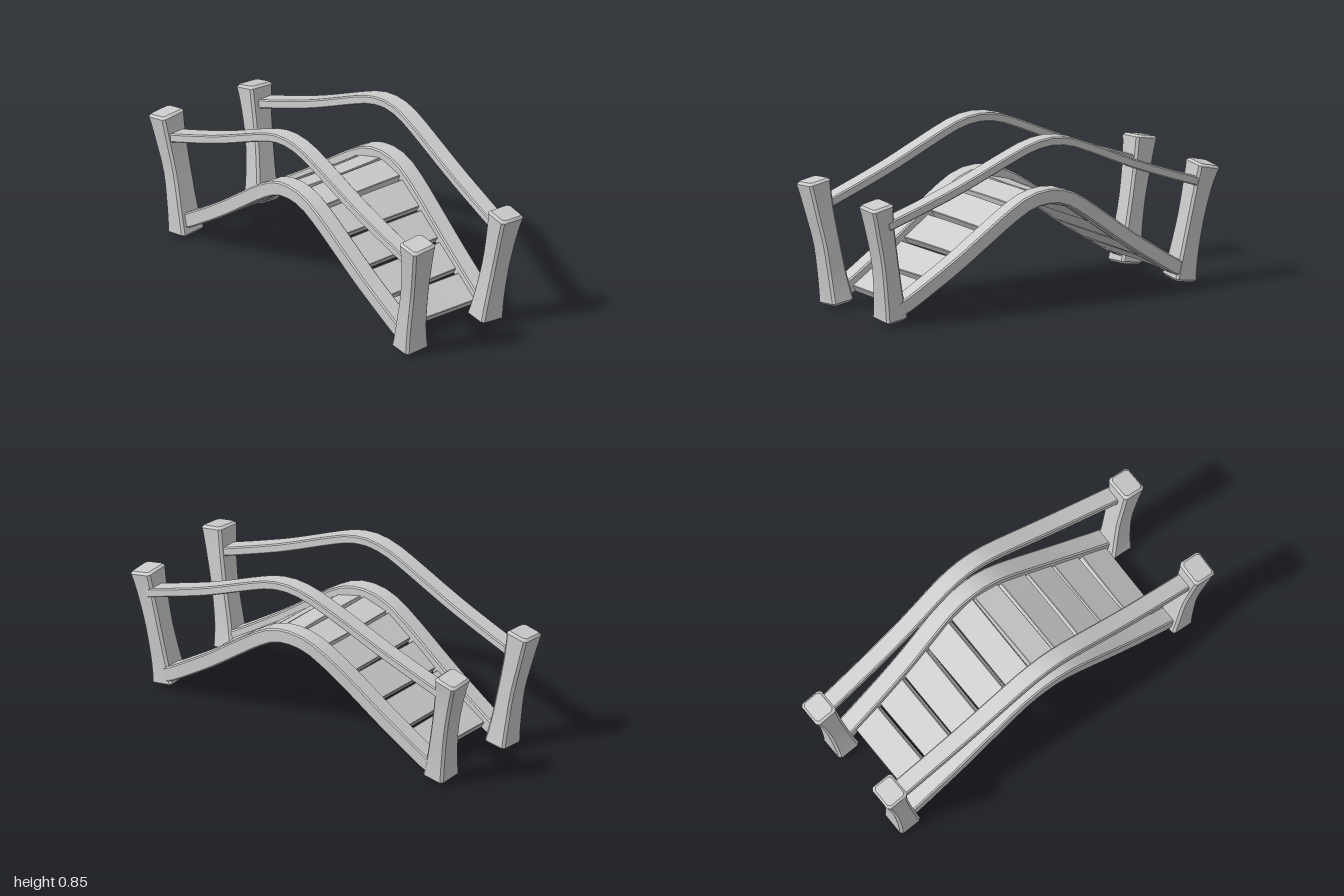
import * as THREE from 'three';
import { toCreasedNormals } from 'three/addons/utils/BufferGeometryUtils.js';

const V = (x, y, z) => new THREE.Vector3(x, y, z);
const material = new THREE.MeshStandardMaterial({ color: 0xcccccc });

// Bevelled bar swept along a path; size(t) gives [half width along side, half thickness]
function bar(name, path, side, size, bevel) {
  const last = path.length - 1;
  const rings = [];
  path.forEach((p, i) => {
    const w = path[Math.min(i + 1, last)].clone().sub(path[Math.max(i - 1, 0)]).normalize();
    const u = side.clone().addScaledVector(w, -side.dot(w)).normalize();
    const v = w.clone().cross(u);
    const [a, b] = size(i / last);
    const ring = (inset, shift) => {
      const A = a - inset, B = b - inset, c = bevel;
      return [[A, c - B], [A, B - c], [A - c, B], [c - A, B], [-A, B - c], [-A, c - B], [c - A, -B], [A - c, -B]]
        .map(([s, t]) => p.clone().addScaledVector(u, s).addScaledVector(v, t).addScaledVector(w, shift));
    };
    if (i === 0) rings.push(ring(bevel * 0.9, 0), ring(0, bevel));
    else if (i === last) rings.push(ring(0, -bevel), ring(bevel * 0.9, 0));
    else rings.push(ring(0, 0));
  });
  const pos = [];
  const tri = (...pts) => pts.forEach((p) => pos.push(p.x, p.y, p.z));
  for (let r = 0; r < rings.length - 1; r++) {
    for (let i = 0; i < 8; i++) {
      const j = (i + 1) % 8, a = rings[r], b = rings[r + 1];
      tri(a[i], a[j], b[j]);
      tri(a[i], b[j], b[i]);
    }
  }
  const first = rings[0], end = rings[rings.length - 1];
  for (let i = 0; i < 8; i++) {
    const j = (i + 1) % 8;
    tri(path[0], first[j], first[i]);
    tri(path[last], end[i], end[j]);
  }
  const geometry = new THREE.BufferGeometry();
  geometry.setAttribute('position', new THREE.Float32BufferAttribute(pos, 3));
  const mesh = new THREE.Mesh(toCreasedNormals(geometry, 0.6), material);
  mesh.name = name;
  return mesh;
}

// Smooth interpolation through [z, value] pairs, z ascending
function profile(points) {
  return (z) => {
    let i = 0;
    while (i < points.length - 2 && z > points[i + 1][0]) i++;
    const at = (k) => points[Math.min(Math.max(k, 0), points.length - 1)];
    const slope = (k) => (at(k + 1)[1] - at(k - 1)[1]) / (at(k + 1)[0] - at(k - 1)[0]);
    const h = at(i + 1)[0] - at(i)[0], t = (z - at(i)[0]) / h;
    const s = t * t * (3 - 2 * t);
    return at(i)[1] * (1 - s) + at(i + 1)[1] * s
      + h * t * (1 - t) * ((1 - t) * slope(i) - t * slope(i + 1));
  };
}
const mirrored = (half) => profile([...half.slice(1).reverse().map(([z, y]) => [-z, y]), ...half]);

// Arch heights and sideways bends
const deckY = mirrored([[0, 0.552], [0.1, 0.536], [0.2, 0.483], [0.33, 0.393], [0.5, 0.272], [0.65, 0.175], [0.78, 0.095], [0.86, 0.06]]);
const railY = mirrored([[0, 0.828], [0.1, 0.815], [0.2, 0.779], [0.5, 0.65], [0.7, 0.575], [0.9, 0.505]]);
const deckX = [
  profile([[-0.86, -0.255], [-0.4, -0.272], [0, -0.28], [0.4, -0.272], [0.86, -0.255]]),
  profile([[-0.86, 0.235], [-0.4, 0.262], [0, 0.302], [0.4, 0.28], [0.86, 0.235]]),
];
const railX = [
  profile([[-0.9, -0.288], [-0.4, -0.298], [0, -0.303], [0.4, -0.3], [0.9, -0.288]]),
  profile([[-0.9, 0.27], [-0.4, 0.295], [0, 0.327], [0.4, 0.308], [0.9, 0.27]]),
];

function archPath(x, y, reach, steps = 26) {
  return Array.from({ length: steps + 1 }, (_, i) => {
    const z = reach * (1 - (2 * i) / steps);
    return V(x(z), y(z), z);
  });
}

export function createModel() {
  const group = new THREE.Group();
  const xAxis = V(1, 0, 0);
  let seed = 7;
  const jitter = () => {
    seed = (seed * 16807) % 2147483647;
    return (seed / 2147483647) * 2 - 1;
  };

  // Side beams and handrails
  ['right', 'left'].forEach((side, i) => {
    group.add(bar(side + 'Beam', archPath(deckX[i], deckY, 0.83), xAxis, () => [0.046, 0.037], 0.007));
    group.add(bar(side + 'Handrail', archPath(railX[i], railY, 0.9), xAxis, () => [0.044, 0.022], 0.006));
  });

  // Waisted corner posts, leaning outwards: bottom x, middle x, top x, bottom y, top y
  const posts = [
    ['frontRightPost', 1, -0.26, -0.275, -0.304, 0.018, 0.63],
    ['frontLeftPost', 1, 0.215, 0.241, 0.255, 0.026, 0.612],
    ['backRightPost', -1, -0.262, -0.275, -0.298, 0.01, 0.625],
    ['backLeftPost', -1, 0.217, 0.243, 0.262, 0.022, 0.595],
  ];
  for (const [name, end, x0, x1, x2, y0, y2] of posts) {
    const curve = new THREE.CatmullRomCurve3([
      V(x0, y0, end * 0.828), V((x0 + x1) / 2 - 0.002, 0.15, end * 0.848), V(x1, 0.32, end * 0.877),
      V((x1 + x2) / 2, 0.48, end * 0.91), V(x2, y2, end * 0.937),
    ]);
    const size = (t) => {
      const flare = Math.pow(Math.abs(2 * t - 1), 1.6);
      return [0.057 + 0.013 * flare, 0.048 + 0.013 * flare];
    };
    group.add(bar(name, curve.getPoints(12), xAxis, size, 0.012));
  }

  // Slightly uneven deck planks laid across the beams
  const count = 10, pitch = 0.154;
  for (let k = 0; k < count; k++) {
    const z = 0.007 + (k - (count - 1) / 2) * pitch;
    const rise = (deckY(z + pitch / 2) - deckY(z - pitch / 2)) / pitch + jitter() * 0.04;
    const along = V(0, rise, 1).normalize();
    const normal = V(0, along.z, -along.y);
    const half = (pitch / 2 - 0.005) / along.z;
    const x0 = deckX[0](z) + 0.015, x1 = deckX[1](z) - 0.015;
    const bow = jitter() * 0.006, skew = jitter() * 0.004, taper = jitter() * 0.005;
    const path = Array.from({ length: 7 }, (_, i) => {
      const t = i / 6, s = 2 * t - 1;
      return V(x0 + (x1 - x0) * t, (deckY(z + pitch / 2) + deckY(z - pitch / 2)) / 2, z)
        .addScaledVector(normal, -0.019 + bow * (1 - s * s))
        .addScaledVector(along, skew * s);
    });
    group.add(bar('plank' + (k + 1), path, along, (t) => [half - 0.003 + taper * (t - 0.5), 0.02], 0.003));
  }
  return group;
}
